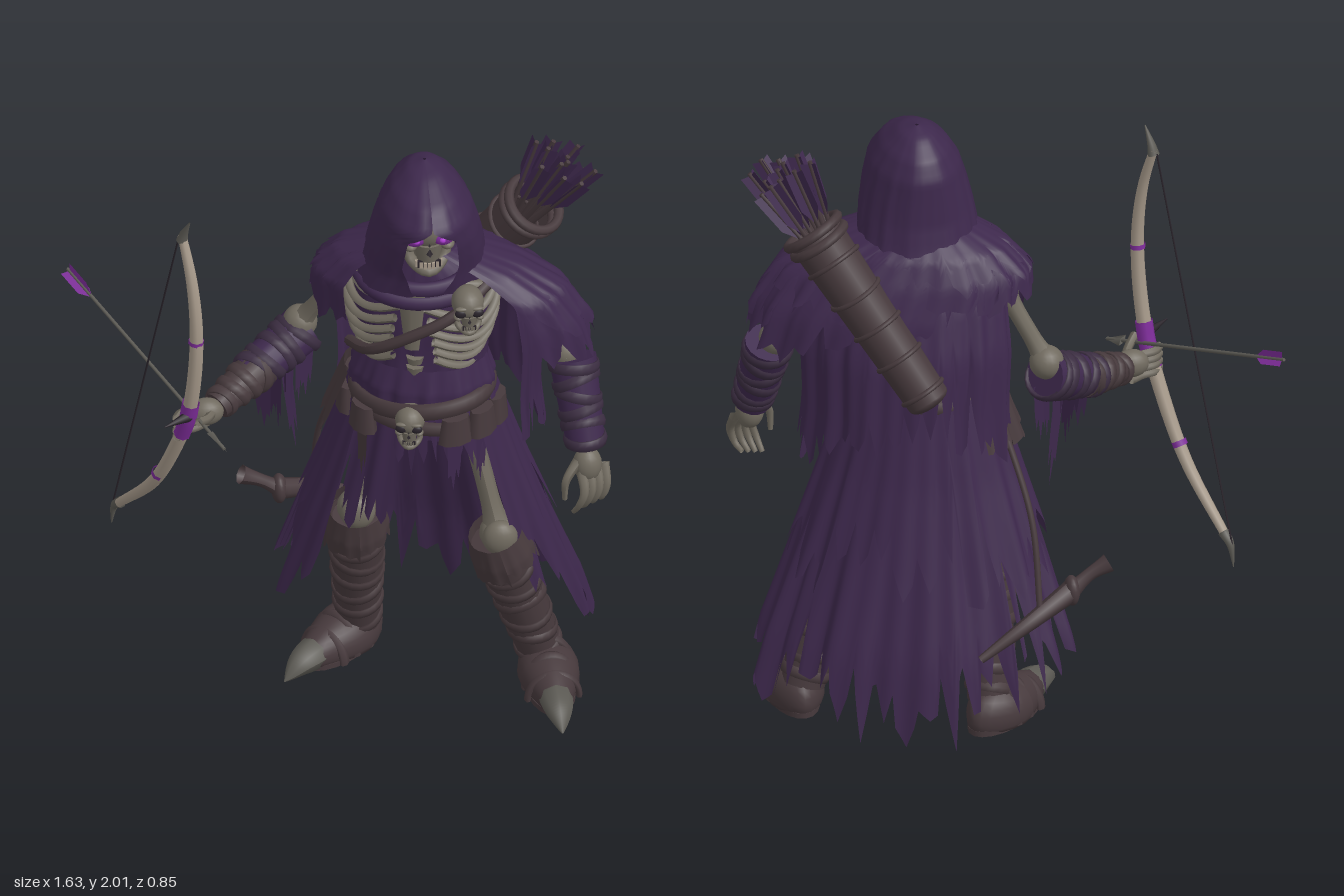
import * as THREE from 'three';

const mat = (name, color, side = THREE.DoubleSide) => {
  const m = new THREE.MeshStandardMaterial({ color, side });
  m.name = name;
  return m;
};
const V = (p) => new THREE.Vector3(...p);
const hash = (n) => { const s = Math.sin(n * 127.1 + 11.7) * 43758.5453; return s - Math.floor(s); };

export function createModel() {
  const root = new THREE.Group();
  root.name = 'skeletonArcher';
  const cloth = mat('purple cloth', 0x3d284c), leather = mat('brown leather', 0x46393c);
  const bone = mat('old bone', 0x706a5f), wood = mat('pale wood', 0xa6998a);
  const violet = mat('bright violet', 0x7f2d9b), glow = mat('eye glow', 0xb844e0);
  const dark = mat('dark hollow', 0x29232a), metal = mat('dull metal', 0x5c5a54);
  const wrap = mat('dusky wrap', 0x3b2d41);

  const add = (name, geo, m, parent = root, pos = [0, 0, 0], scale = [1, 1, 1]) => {
    const o = new THREE.Mesh(geo, m);
    o.name = name;
    o.position.set(...pos);
    o.scale.set(...scale);
    parent.add(o);
    return o;
  };
  const group = (name, parent = root, pos = [0, 0, 0], ry = 0) => {
    const g = new THREE.Group();
    g.name = name; g.position.set(...pos); g.rotation.y = ry;
    parent.add(g);
    return g;
  };
  const ball = (name, m, parent, pos, scale) => add(name, new THREE.SphereGeometry(1, 18, 12), m, parent, pos, scale);
  // Group whose +y axis runs from a to b
  const along = (name, a, b, parent = root) => {
    const g = group(name, parent, a);
    const d = V(b).sub(V(a));
    g.userData.length = d.length();
    g.quaternion.setFromUnitVectors(new THREE.Vector3(0, 1, 0), d.normalize());
    return g;
  };
  // Curved tube whose radius follows a rule f(u)
  const tube = (name, m, pts, r, f = () => 1, parent = root, seg = 20, sides = 8) => {
    const curve = new THREE.CatmullRomCurve3(pts.map(V));
    const geo = new THREE.TubeGeometry(curve, seg, r, sides);
    const p = geo.attributes.position, v = new THREE.Vector3();
    for (let i = 0; i <= seg; i++) {
      const c = curve.getPointAt(i / seg), k = f(i / seg);
      for (let j = 0; j <= sides; j++) {
        const n = i * (sides + 1) + j;
        v.fromBufferAttribute(p, n).sub(c).multiplyScalar(k).add(c);
        p.setXYZ(n, v.x, v.y, v.z);
      }
    }
    geo.computeVertexNormals();
    return add(name, geo, m, parent);
  };
  const boneShape = (u) => 0.75 + 0.75 * Math.pow(2 * u - 1, 4);
  const longBone = (name, a, b, r, parent = root) => {
    tube(name, bone, [a, b], r, boneShape, parent);
    for (const e of [a, b]) ball(name + 'Joint', bone, parent, e, [r * 1.5, r * 1.5, r * 1.5]);
  };
  // Hanging cloth from rings [y, cx, cz, rx, rz], with folds and a torn hem
  const drape = (name, rings, o, parent, m = cloth) => {
    const { from = 0, to = Math.PI * 2, cols = 120, rows = 14, hem = () => 1, tear = 0, fold = 0, seed = 1, open } = o;
    const pos = [], idx = [], n = rings.length - 1;
    for (let i = 0; i <= cols; i++) {
      const tooth = Math.floor(i / 6), k = Math.abs((i % 6) / 3 - 1);
      const slit = k * (hash(tooth * 7 + seed) > 0.65 ? 0.9 : 0.4) * hash(tooth * 3 + seed * 17 + (i % 6 > 2 ? 1 : 0));
      const cut = tear * (0.3 * hash(Math.floor(i / 18) + seed * 5) + 0.35 * hash(tooth + seed * 31) + slit);
      for (let j = 0; j <= rows; j++) {
        const phi0 = from + (to - from) * i / cols;
        const v = Math.min(1, j / rows * (hem(phi0) - cut));
        const gap = open ? open(v) : 0;
        const phi = open ? gap + (Math.PI * 2 - 2 * gap) * i / cols : phi0;
        const s = Math.min(v * n, n - 1e-6), a = rings[Math.floor(s)], b = rings[Math.floor(s) + 1], t = s % 1;
        const [y, cx, cz, rx, rz] = a.map((q, e) => q + (b[e] - q) * t);
        const w = 1 + fold * (0.3 + v) * (Math.sin(phi * 13 + seed + 2 * Math.sin(phi * 3)) + 0.5 * Math.sin(phi * 29 + v * 3));
        pos.push(cx + rx * w * Math.sin(phi), y, cz + rz * w * Math.cos(phi));
        if (i < cols && j < rows) {
          const q = i * (rows + 1) + j, z = q + rows + 1;
          idx.push(q, q + 1, z, z, q + 1, z + 1);
        }
      }
    }
    const geo = new THREE.BufferGeometry();
    geo.setAttribute('position', new THREE.Float32BufferAttribute(pos, 3));
    geo.setIndex(idx);
    geo.computeVertexNormals();
    return add(name, geo, m, parent);
  };
  // Small torn strip
  const rag = (pos, w, len, ry = 0, m = cloth, parent = root, rz = 0) => {
    const s = new THREE.Shape([[-w / 2, 0], [w / 2, 0], [w * 0.4, -len * 0.5], [w * 0.25, -len * 0.8], [w * 0.1, -len * 0.6],
      [-w * 0.1, -len], [-w * 0.25, -len * 0.7], [-w * 0.45, -len * 0.75]].map((p) => new THREE.Vector2(...p)));
    add('tornStrip', new THREE.ShapeGeometry(s), m, parent, pos).rotation.set(0, ry, rz);
  };
  // Skull about one unit tall, facing +z
  const skull = (name, pos, size, glowing, parent = root, ry = 0) => {
    const g = group(name, parent, pos, ry);
    g.scale.setScalar(size);
    ball('cranium', bone, g, [0, 0.14, -0.04], [0.36, 0.37, 0.42]);
    add('upperJaw', new THREE.CylinderGeometry(0.2, 0.15, 0.28, 12), bone, g, [0, -0.18, 0.17]);
    tube('jaw', bone, [[-0.27, -0.12, -0.05], [-0.21, -0.42, 0.08], [0, -0.49, 0.28], [0.21, -0.42, 0.08], [0.27, -0.12, -0.05]], 0.07, undefined, g);
    add('nose', new THREE.ConeGeometry(0.07, 0.17, 3), dark, g, [0, -0.08, 0.34]);
    for (const s of [-1, 1]) {
      ball('cheekbone', bone, g, [s * 0.24, -0.08, 0.2], [0.1, 0.07, 0.14]);
      ball('brow', bone, g, [s * 0.16, 0.2, 0.31], [0.15, 0.05, 0.07]);
      ball('eyeSocket', glowing ? violet : dark, g, [s * 0.18, 0.07, 0.3], [0.14, 0.11, 0.08]);
      if (glowing) ball('glowingEye', glow, g, [s * 0.17, 0.07, 0.35], [0.05, 0.05, 0.04]);
    }
    add('mouth', new THREE.BoxGeometry(0.3, 0.1, 0.04), dark, g, [0, -0.35, 0.28]);
    for (let i = -3; i <= 3; i++)
      add('tooth', new THREE.BoxGeometry(0.04, 0.09, 0.04), glowing ? wood : bone, g, [i * 0.052, -0.36, 0.32 - i * i * 0.008]);
  };

  // Torso, turned slightly toward the bow side
  const torso = group('torso', root, [0.24, 0, 0.02], -0.3);
  drape('innerTunic', [[1.66, 0, 0.03, 0.08, 0.08], [1.56, 0, 0.01, 0.2, 0.12], [1.42, 0, 0.01, 0.22, 0.13], [1.28, 0, 0, 0.2, 0.13], [1.14, 0, 0, 0.2, 0.14], [0.98, 0, 0, 0.2, 0.14]], { fold: 0.015 }, torso);
  const rx = 0.235, rz = 0.175;
  for (const s of [-1, 1]) {
    for (let i = 0; i < 7; i++) {
      const y = 1.57 - i * 0.045, k = 0.82 + 0.18 * Math.sin((i + 1) * 0.5), pts = [];
      for (let j = 0; j <= 6; j++) {
        const a = 0.14 + i * 0.04 + j * 0.25;
        pts.push([s * rx * k * Math.sin(a), y - 0.06 * Math.sin(j * 0.52) + j * 0.006, rz * k * Math.cos(a) + 0.015]);
      }
      tube('rib', bone, pts, 0.0135, undefined, torso, 18, 6);
    }
    tube('collarBone', bone, [[s * 0.03, 1.575, 0.15], [s * 0.12, 1.6, 0.14], [s * 0.2, 1.58, 0.1]], 0.014, boneShape, torso);
  }
  add('breastbone', new THREE.CylinderGeometry(0.05, 0.025, 0.22, 6), bone, torso, [0, 1.47, 0.176], [1, 1, 0.4]);
  for (let i = 0; i < 7; i++)
    add('vertebra', new THREE.CylinderGeometry(0.03, 0.024, 0.026, 8), bone, torso, [0, i < 2 ? 1.25 + i * 0.036 : 1.55 + (i - 2) * 0.03, i < 2 ? 0.125 : 0.07]);
  tube('chestStrap', leather, [[0.24, 1.6, 0.08], [0.13, 1.51, 0.185], [0, 1.43, 0.21], [-0.13, 1.34, 0.175], [-0.22, 1.27, 0.05]], 0.018, undefined, torso);
  drape('waistSash', [[1.25, 0, 0, 0.2, 0.145], [1.17, 0, 0, 0.225, 0.165], [1.1, 0, 0, 0.22, 0.165]], { fold: 0.03, seed: 4 }, torso);
  skull('chestSkull', [0.355, 1.54, 0.235], 0.14, false);

  // Belts with pouches and tatters
  for (const [y, r, t] of [[1.12, 0.02, 0.08], [1.065, 0.017, -0.12]]) {
    const b = add('belt', new THREE.TorusGeometry(0.213, r, 8, 40), leather, torso, [0, y, 0.01], [1, 0.82, 1.6]);
    b.rotation.set(Math.PI / 2, t, 0);
  }
  for (const a of [-1.9, -1.35, -0.75, 0.6, 1.05, 1.5]) {
    const p = [0.235 * Math.sin(a), 1.06, 0.195 * Math.cos(a)];
    add('pouch', new THREE.CylinderGeometry(0.045, 0.058, 0.09, 8), leather, torso, p, [1, 1, 0.6]).rotation.y = a;
    rag([p[0], 1.03, p[2] + 0.01], 0.05, 0.2, a, a < 0 ? leather : cloth, torso);
  }
  drape('hipGuard', [[1.17, 0, 0, 0.245, 0.185], [0.93, 0, 0, 0.325, 0.23]], { from: 3.9, to: 5.2, cols: 36, tear: 0.4, fold: 0.03, seed: 9 }, torso, leather);
  skull('beltSkull', [0.18, 1.08, 0.2], 0.13, false, root, -0.2);

  // Skirt with open front, and strips between the legs
  const skirt = [[1.13, 0, 0, 0.22, 0.165], [0.86, 0, -0.02, 0.3, 0.2], [0.59, 0, -0.05, 0.385, 0.24], [0.32, 0, -0.09, 0.47, 0.275], [0.05, 0, -0.12, 0.53, 0.29]];
  drape('skirt', skirt, { from: 0.92, to: Math.PI * 2 - 0.82, cols: 192, rows: 20, tear: 0.4, fold: 0.03, seed: 3,
    hem: (p) => 0.92 + 0.03 * Math.sin(p) - 0.13 * Math.cos(p) }, torso);
  drape('loincloth', skirt, { from: -0.75, to: -0.22, cols: 30, hem: () => 0.5, tear: 0.25, fold: 0.04, seed: 8 }, torso);
  drape('hipCloth', skirt, { from: -0.22, to: 0.9, cols: 48, hem: () => 0.26, tear: 0.2, fold: 0.03, seed: 5 }, torso);
  drape('overSkirt', skirt.map(([y, x, z, a, b]) => [y, x, z, a * 1.04, b * 1.05]), { from: 1.25, to: 5.1, hem: () => 0.62, tear: 0.35, fold: 0.03, seed: 12 }, torso);

  // Cape and layered shoulder mantle
  drape('backCape', [[1.64, 0.02, 0, 0.2, 0.12], [1.48, 0.03, -0.01, 0.31, 0.19], [1.3, 0.03, -0.04, 0.33, 0.215], [1.1, 0.03, -0.05, 0.32, 0.22], [0.9, 0.03, -0.05, 0.34, 0.235]],
    { from: 1.1, to: 4.5, hem: (p) => 1.05 - 0.1 * Math.abs(Math.cos(p)), tear: 0.32, fold: 0.028, seed: 21 }, torso);
  for (let i = 0; i < 3; i++) {
    const k = 1 + i * 0.015;
    drape('shoulderMantle', [[1.69, 0, 0.04, 0.12, 0.12], [1.62, 0.02, 0.02, 0.28 * k, 0.17 * k], [1.54, 0.045, 0.01, 0.385 * k, 0.2 * k], [1.42, 0.08, -0.01, 0.425 * k, 0.22 * k], [1.26, 0.1, -0.02, 0.45 * k, 0.225 * k]],
      { from: 0.8 + i * 0.05, to: 5.5 - i * 0.08, hem: (p) => 0.96 - i * 0.15 + 0.12 * Math.sin(p), tear: 0.33, fold: 0.026, seed: 30 + i }, torso);
  }

  // Hood, cowl and face
  drape('hood', [[2, 0.24, 0.07, 0.005, 0.005], [1.98, 0.24, 0.08, 0.055, 0.075], [1.93, 0.24, 0.1, 0.105, 0.155], [1.87, 0.24, 0.11, 0.14, 0.195],
    [1.79, 0.24, 0.1, 0.163, 0.19], [1.72, 0.24, 0.085, 0.178, 0.18], [1.65, 0.24, 0.065, 0.188, 0.175], [1.58, 0.235, 0.045, 0.215, 0.175]],
  { rows: 32, cols: 72, fold: 0.013, open: (v) => v < 0.4 ? 0 : Math.min(0.52, (v - 0.4) * 5) * (v > 0.75 ? 1 - (v - 0.75) * 2.4 : 1) });
  for (const [y, r, z] of [[1.615, 0.145, 0.065], [1.58, 0.175, 0.05]])
    add('cowlFold', new THREE.TorusGeometry(r, 0.026, 10, 36), cloth, root, [0.235, y, z], [1.1, 0.9, 1]).rotation.x = Math.PI / 2 + 0.22;
  skull('head', [0.24, 1.773, 0.125], 0.24, true);

  // Wrapped sleeve or boot: tapered core with tilted bands
  const wrapped = (name, a, b, r0, r1, count, core, band) => {
    const g = along(name, a, b), L = g.userData.length;
    add(name + 'Core', new THREE.CylinderGeometry(r1, r0, L, 16), core, g, [0, L / 2, 0]);
    for (let i = 0; i < count; i++) {
      const t = (i + 0.5) / count;
      const o = add(name + 'Band', new THREE.TorusGeometry(r0 + (r1 - r0) * t, 0.008, 6, 20), band, g, [0, L * t, 0], [1, 1, 2.4]);
      o.rotation.set(Math.PI / 2 + (hash(i + L) - 0.5) * 0.6, (hash(i * 3 + L) - 0.5) * 0.6, 0);
    }
    return g;
  };

  // Legs
  const leg = (hip, knee, ankle, heel, ry) => {
    longBone('thighBone', hip, knee, 0.04);
    ball('kneeCap', bone, root, [knee[0], knee[1] + 0.01, knee[2] + 0.04], [0.055, 0.06, 0.04]);
    const shin = wrapped('boot', ankle, [knee[0], knee[1] - 0.03, knee[2]], 0.07, 0.088, 7, leather, leather), L = shin.userData.length;
    drape('bootCuff', [[L + 0.04, 0, 0, 0.085, 0.088], [L - 0.04, 0, 0, 0.1, 0.1], [L - 0.16, 0, 0, 0.1, 0.098]], { tear: 0.6, fold: 0.03, cols: 60, seed: 40 }, shin, leather);
    const foot = group('foot', root, heel, ry);
    const geo = new THREE.SphereGeometry(1, 24, 16), p = geo.attributes.position;
    for (let i = 0; i < p.count; i++) {
      const t = (p.getZ(i) + 1) / 2;
      p.setXYZ(i, p.getX(i) * (0.08 + 0.02 * Math.sin(t * 5)), Math.max(0.005, 0.04 + p.getY(i) * (0.125 - 0.075 * t)), 0.19 * (p.getZ(i) + 1));
    }
    geo.computeVertexNormals();
    add('shoe', geo, leather, foot);
    for (let i = 0; i < 3; i++)
      add('shoeBand', new THREE.TorusGeometry(0.08, 0.011, 6, 20, Math.PI), leather, foot, [0, 0.01, 0.13 + i * 0.06], [1, 1.7 - i * 0.29, 1.6]);
    tube('toeSpike', metal, [[0, 0.045, 0.3], [0, 0.04, 0.37], [0, 0.012, 0.44]], 0.052, (u) => 1 - 0.95 * u * u, foot);
    add('sole', new THREE.CylinderGeometry(0.08, 0.08, 0.018, 20), leather, foot, [0, 0.009, 0.17], [1, 1, 2.1]);
  };
  leg([0.38, 0.98, 0.08], [0.46, 0.6, 0.15], [0.6, 0.08, 0.07], [0.61, 0, -0.02], 0.04);
  leg([0.1, 0.98, -0.02], [0.04, 0.6, -0.03], [0.06, 0.08, -0.15], [0.13, 0, -0.24], -0.82);

  // Left arm, hanging
  longBone('upperArm', [0.57, 1.48, 0.1], [0.67, 1.27, 0.13], 0.036);
  wrapped('leftSleeve', [0.69, 1.25, 0.14], [0.72, 0.99, 0.25], 0.075, 0.06, 6, cloth, wrap);
  ball('leftPalm', bone, root, [0.72, 0.94, 0.28], [0.045, 0.06, 0.045]);
  for (let i = 0; i < 4; i++) {
    const x = 0.69 + i * 0.024, z = 0.3 - i * 0.012;
    tube('leftFinger', bone, [[x + 0.01, 0.93, z], [x + 0.015, 0.87, z + 0.035], [x, 0.82, z + 0.03], [x - 0.015, 0.775 + 0.01 * i, z]], 0.016, (u) => 1.1 - 0.6 * u, root, 12, 6);
  }
  tube('leftThumb', bone, [[0.69, 0.96, 0.29], [0.65, 0.91, 0.32], [0.645, 0.84, 0.32]], 0.016, (u) => 1.1 - 0.6 * u, root, 12, 6);

  // Right arm, reaching to the bow
  longBone('upperArm', [0.0, 1.47, -0.06], [-0.12, 1.24, -0.15], 0.036);
  wrapped('rightSleeve', [-0.11, 1.2, -0.165], [-0.29, 1.12, -0.05], 0.076, 0.064, 5, cloth, wrap);
  wrapped('rightGauntlet', [-0.25, 1.135, -0.075], [-0.4, 1.08, 0.04], 0.069, 0.045, 4, leather, leather);
  ball('rightPalm', bone, root, [-0.435, 1.08, 0.065], [0.055, 0.045, 0.04]);
  for (let i = 0; i < 4; i++) {
    const y = 1.1 - i * 0.024;
    tube('rightFinger', bone, [[-0.43, y, 0.05], [-0.47, y, 0.075], [-0.515, y, 0.09], [-0.535, y, 0.12]], 0.014, undefined, root, 12, 6);
  }
  tube('rightThumb', bone, [[-0.42, 1.09, 0.09], [-0.44, 1.1, 0.13], [-0.47, 1.12, 0.17]], 0.014, undefined, root, 12, 6);
  for (let i = 0; i < 7; i++)
    rag([-0.1 - i * 0.025, 1.16 - i * 0.008, -0.14 + i * 0.018], 0.06, 0.13 + 0.1 * hash(i), 0.7 + i * 0.3);
  rag([-0.17, 1.1, -0.1], 0.035, 0.32, 0.3, cloth, root, 0.12);

  // Bow lies in one upright slanted plane
  const onBow = ([x, y]) => [x, y, 0.15 + (x + 0.49) * 1.68];
  const bowPts = [[-0.515, 1.8], [-0.49, 1.65], [-0.478, 1.48], [-0.482, 1.3], [-0.5, 1.12], [-0.535, 0.95], [-0.59, 0.76], [-0.685, 0.56]].map(onBow);
  const bow = group('bow');
  tube('bowStave', wood, bowPts, 0.021, (u) => 1.1 - 1.8 * Math.pow(u - 0.5, 2), bow, 50, 8);
  tube('bowGrip', violet, [[-0.492, 1.18], [-0.5, 1.11], [-0.515, 1.035]].map(onBow), 0.028, undefined, bow);
  for (const [a, b] of [[[-0.478, 1.44], [-0.479, 1.425]], [[-0.572, 0.82], [-0.577, 0.805]]])
    tube('bowBinding', violet, [onBow(a), onBow(b)], 0.024, undefined, bow);
  for (const [a, b, c] of [[[-0.515, 1.78], [-0.51, 1.81], [-0.495, 1.87]], [[-0.675, 0.58], [-0.69, 0.55], [-0.698, 0.475]]])
    tube('bowTip', metal, [a, b, c].map(onBow), 0.019, (u) => 1 - 0.9 * u, bow);
  tube('bowString', dark, [[-0.522, 1.79], [-0.695, 0.55]].map(onBow), 0.003, undefined, bow, 2, 5);
  tube('bowSpur', dark, [[-0.5, 1.13, 0.15], [-0.58, 1.14, 0.21]], 0.018, (u) => 1 - 0.9 * u, bow);

  // Arrow: shaft, three vanes, optional head
  const arrow = (tail, tip, vane, head, r, w, len) => {
    const g = along('arrow', tail, tip), L = g.userData.length;
    add('arrowShaft', new THREE.CylinderGeometry(r, r, L, 6), head ? metal : leather, g, [0, L / 2, 0]);
    const s = new THREE.Shape([[0, 0], [w, -0.01], [w, len * 0.65], [0, len]].map((p) => new THREE.Vector2(...p)));
    for (let i = 0; i < 3; i++)
      add('arrowVane', new THREE.ShapeGeometry(s), vane, g, [0, 0.01, 0]).rotation.y = i * 2.09;
    if (head) add('arrowHead', new THREE.ConeGeometry(0.022, 0.08, 4), metal, g, [0, L - 0.03, 0], [1, 1, 0.4]);
  };
  arrow([-0.81, 1.305, -0.41], [-0.4, 1.07, 0.25], violet, true, 0.006, 0.026, 0.12);

  // Quiver on the back with a fan of arrows
  const quiver = along('quiver', [0.28, 1.22, -0.27], [0.59, 1.72, -0.03]), qL = quiver.userData.length;
  add('quiverBody', new THREE.CylinderGeometry(0.088, 0.068, qL, 20, 1, true), leather, quiver, [0, qL / 2, 0]);
  add('quiverBase', new THREE.SphereGeometry(0.068, 20, 10), leather, quiver, [0, 0, 0], [1, 0.4, 1]);
  [0.03, 0.16, 0.28, 0.4, 0.52, 0.6, qL].forEach((y, i) => {
    add('quiverBand', new THREE.TorusGeometry(0.069 + y * 0.034, i > 4 ? 0.016 : 0.008, 8, 28), leather, quiver, [0, y, 0]).rotation.set(Math.PI / 2 + (hash(i) - 0.5) * 0.2, 0, 0);
  });
  for (let i = 0; i < 13; i++) {
    const a = i * 2.4, r = 0.11 * Math.sqrt(i / 13), k = 0.07 * hash(i) - 0.04;
    const c = Math.cos(a) * r, s = Math.sin(a) * r;
    arrow([0.69 + c, 1.91 + k - c * 0.5, 0.03 + s], [0.55 + c * 0.4, 1.64, -0.06 + s * 0.4], cloth, false, 0.008, 0.032, 0.19);
  }

  // Sheathed dagger hanging behind the right hip
  tube('daggerSheath', leather, [[-0.17, 0.5, -0.28], [-0.02, 0.44, -0.35], [0.14, 0.35, -0.385]], 0.032, (u) => 1.1 - 0.7 * u);
  tube('daggerHandle', leather, [[-0.29, 0.575, -0.265], [-0.23, 0.545, -0.27], [-0.17, 0.5, -0.28]], 0.026, (u) => 1.2 - 0.4 * Math.sin(u * 3));
  ball('daggerGuard', leather, root, [-0.17, 0.5, -0.28], [0.025, 0.05, 0.04]);
  tube('daggerStrap', leather, [[0.02, 1.05, -0.12], [-0.05, 0.75, -0.25], [-0.06, 0.46, -0.33]], 0.01);
  return root;
}
